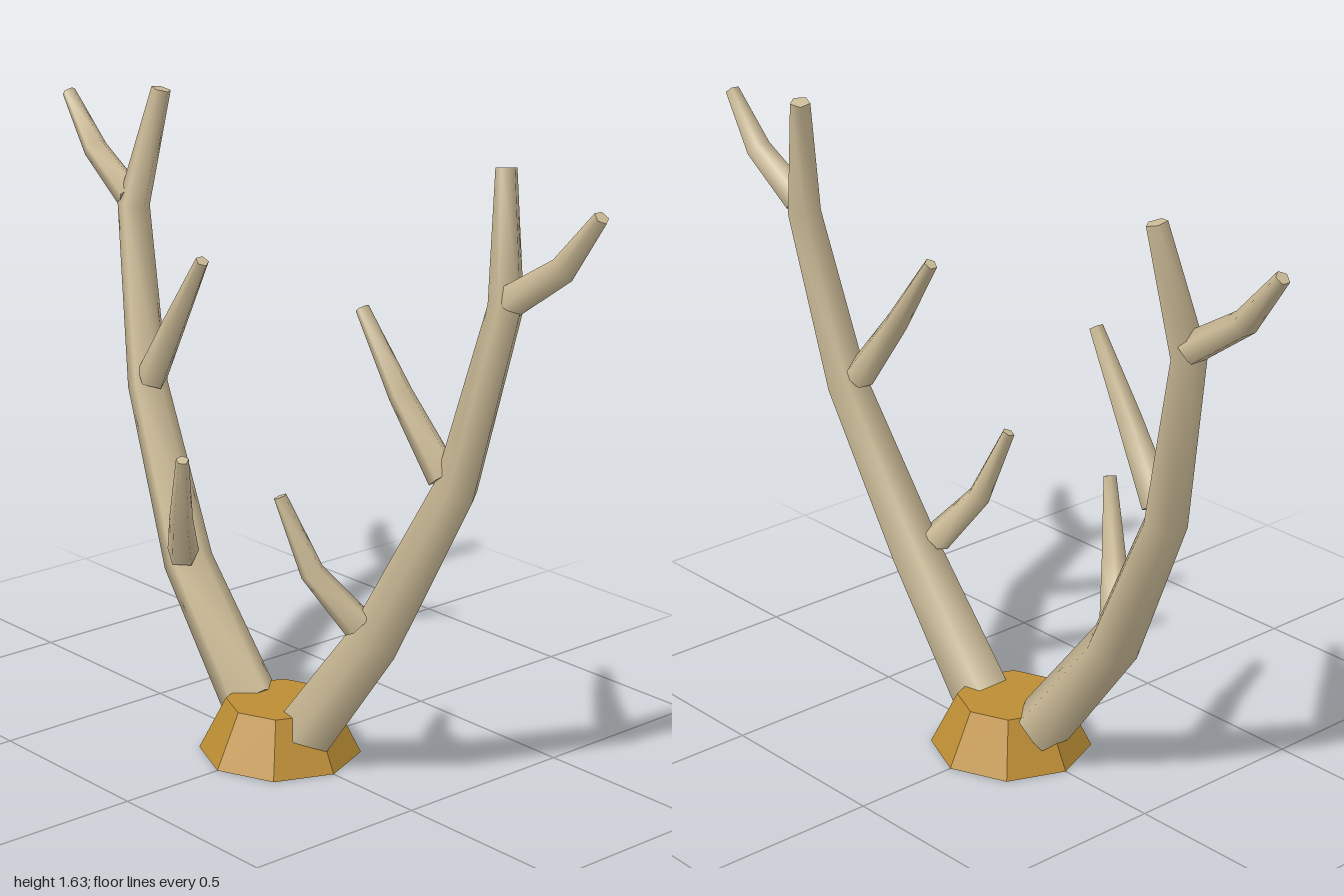
import * as THREE from 'three';

const SIDES = 5;

// Tapered five-sided limb through points [x, y, z, radius], smooth sides and flat end caps
function limbGeometry(points, side) {
  const centres = points.map(([x, y, z]) => new THREE.Vector3(x * side, y, z));
  const positions = [];
  const index = [];
  const rings = centres.map((c, i) => {
    const last = centres.length - 1;
    const dir = new THREE.Vector3();
    if (i > 0) dir.add(c.clone().sub(centres[i - 1]).normalize());
    if (i < last) dir.add(centres[i + 1].clone().sub(c).normalize());
    dir.normalize();
    const n = dir.clone().cross(new THREE.Vector3(0, 0, 1)).normalize();
    const b = dir.clone().cross(n);
    return Array.from({ length: SIDES }, (_, k) => {
      const a = (k / SIDES) * Math.PI * 2;
      return c.clone()
        .addScaledVector(n, Math.cos(a) * points[i][3])
        .addScaledVector(b, Math.sin(a) * points[i][3]);
    });
  });
  rings.forEach((ring) => ring.forEach((p) => positions.push(p.x, p.y, p.z)));
  for (let i = 0; i < rings.length - 1; i++) {
    for (let k = 0; k < SIDES; k++) {
      const a = i * SIDES + k;
      const b = i * SIDES + ((k + 1) % SIDES);
      index.push(a, b, a + SIDES, b, b + SIDES, a + SIDES);
    }
  }
  // End caps use their own vertices so their edges stay sharp
  [rings[0].slice().reverse(), rings[rings.length - 1]].forEach((ring) => {
    const start = positions.length / 3;
    ring.forEach((p) => positions.push(p.x, p.y, p.z));
    for (let k = 1; k < SIDES - 1; k++) index.push(start, start + k, start + k + 1);
  });
  const geometry = new THREE.BufferGeometry();
  geometry.setAttribute('position', new THREE.Float32BufferAttribute(positions, 3));
  geometry.setIndex(index);
  geometry.computeVertexNormals();
  return geometry;
}

// Centre lines of the left antler: x, y, z, radius
const LIMBS = {
  mainBeam: [
    [0.12, 0.1, 0, 0.079],
    [0.373, 0.42, 0, 0.069],
    [0.593, 0.848, -0.045, 0.056],
    [0.7, 1.31, -0.09, 0.045],
    [0.64, 1.622, -0.14, 0.027],
  ],
  lowerTine: [
    [0.345, 0.455, 0.04, 0.043],
    [0.257, 0.585, 0.115, 0.032],
    [0.19, 0.775, 0.162, 0.017],
  ],
  middleTine: [
    [0.56, 0.875, -0.035, 0.043],
    [0.43, 1.055, -0.012, 0.032],
    [0.303, 1.245, 0, 0.018],
  ],
  upperTine: [
    [0.715, 1.33, -0.092, 0.041],
    [0.875, 1.435, -0.097, 0.034],
    [0.985, 1.572, -0.095, 0.019],
  ],
};

export function createModel() {
  const model = new THREE.Group();
  model.name = 'antlers';

  const bone = new THREE.MeshStandardMaterial({ color: 0xcbba96 });
  bone.name = 'bone';
  const ochre = new THREE.MeshStandardMaterial({ color: 0xbc8d34 });
  ochre.name = 'ochre';

  // Octagonal base with flat facets
  const baseGeometry = new THREE.CylinderGeometry(0.14, 0.21, 0.14, 8).toNonIndexed();
  baseGeometry.computeVertexNormals();
  const base = new THREE.Mesh(baseGeometry, ochre);
  base.name = 'base';
  base.position.y = 0.07;
  model.add(base);

  // One antler on each side
  for (const side of [1, -1]) {
    const antler = new THREE.Group();
    antler.name = side > 0 ? 'leftAntler' : 'rightAntler';
    for (const [name, points] of Object.entries(LIMBS)) {
      const limb = new THREE.Mesh(limbGeometry(points, side), bone);
      limb.name = name;
      antler.add(limb);
    }
    model.add(antler);
  }
  return model;
}
